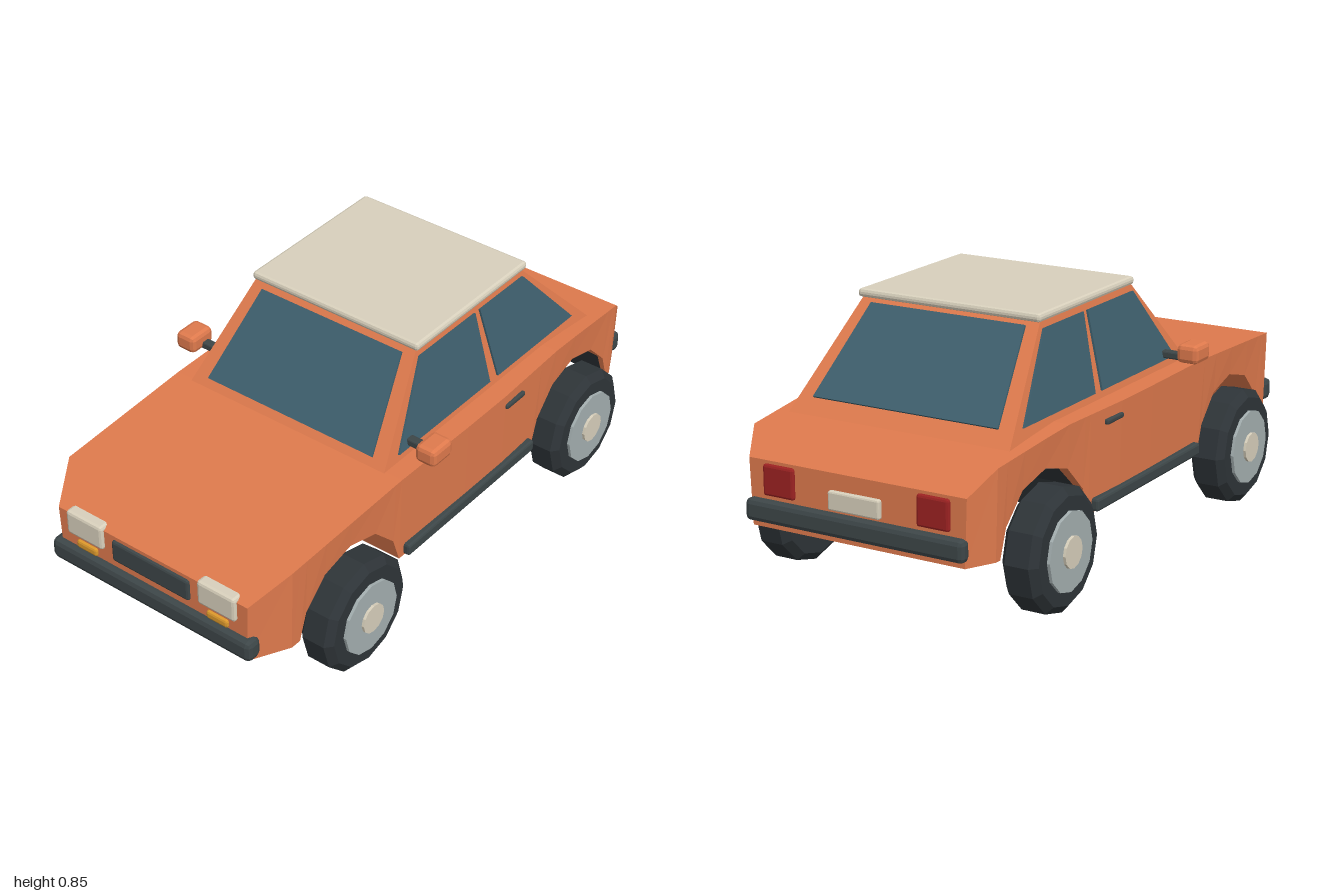
import * as THREE from 'three';
import { RoundedBoxGeometry } from 'three/addons/geometries/RoundedBoxGeometry.js';

const mat = (color, side = THREE.FrontSide) =>
  new THREE.MeshStandardMaterial({ color, flatShading: true, side });

// Joins matching rings of corners with quads and closes both ends.
function loft(rings) {
  const pos = [];
  const tri = (...p) => p.forEach((v) => pos.push(...v));
  const cap = (r) => { for (let i = 1; i < r.length - 1; i++) tri(r[0], r[i], r[i + 1]); };
  cap(rings[0]);
  cap([...rings[rings.length - 1]].reverse());
  for (let i = 0; i < rings.length - 1; i++) {
    const A = rings[i], B = rings[i + 1];
    for (let j = 0; j < A.length; j++) {
      const k = (j + 1) % A.length;
      tri(A[j], B[j], B[k]);
      tri(A[j], B[k], A[k]);
    }
  }
  const g = new THREE.BufferGeometry();
  g.setAttribute('position', new THREE.Float32BufferAttribute(pos, 3));
  g.computeVertexNormals();
  return g;
}

// Piecewise linear lookup in a list of [z, value], z falling.
function lookup(table, z) {
  for (let i = 0; i < table.length - 1; i++) {
    const [z0, a] = table[i], [z1, b] = table[i + 1];
    if (z >= z1) return a + ((b - a) * (z0 - z)) / (z0 - z1);
  }
  return table[table.length - 1][1];
}

// Thin glass pane from corners that run anticlockwise seen from outside.
function pane(points) {
  const v = points.map((p) => new THREE.Vector3(...p));
  const n = v[1].clone().sub(v[0]).cross(v[2].clone().sub(v[0])).normalize();
  const shift = (d) => v.map((p) => p.clone().addScaledVector(n, d).toArray());
  return loft([shift(0.007), shift(-0.008)]);
}

export function createModel() {
  const car = new THREE.Group();
  car.name = 'car';
  const paint = mat(0xdf7a4d), glass = mat(0x3e5f6d), rubber = mat(0x2e3438);
  const trim = mat(0x3d4648), cream = mat(0xd8d0bc), metal = mat(0xa4afb0);
  const red = mat(0x9c2222), amber = mat(0xdb982c);

  const add = (name, geo, material, parent = car) => {
    const m = new THREE.Mesh(geo, material);
    m.name = name;
    parent.add(m);
    return m;
  };
  // Chamfered box given by its ranges on each axis.
  const box = (name, material, [x0, x1], [y0, y1], [z0, z1], r = 0.008) =>
    add(name, new RoundedBoxGeometry(x1 - x0, y1 - y0, z1 - z0, 1, r), material)
      .position.set((x0 + x1) / 2, (y0 + y1) / 2, (z0 + z1) / 2);
  const span = (s, a, b) => (s > 0 ? [a, b] : [-b, -a]);

  // Lower body: stations from nose to tail, with a wheel tunnel at each axle
  const axles = [0.575, -0.62], axleY = 0.2, floor = 0.23;
  const top = [[0.975, 0.44], [0.85, 0.522], [0.34, 0.545], [-0.52, 0.545], [-0.88, 0.512], [-0.97, 0.44]];
  const width = [[0.975, 0.373], [0.85, 0.44], [0, 0.452], [-0.2, 0.452], [-0.88, 0.427], [-0.97, 0.38]];
  const stations = [[0.975, floor], [0.85, floor]];
  axles.forEach((z, i) => {
    for (const deg of [7.2, 30, 60, 90, 120, 150, 172.8]) {
      const a = THREE.MathUtils.degToRad(deg);
      stations.push([z + 0.24 * Math.cos(a), axleY + 0.24 * Math.sin(a)]);
    }
    if (i === 0) stations.push([0, floor], [-0.2, floor]);
  });
  stations.push([-0.88, floor], [-0.97, floor]);
  add('body', loft(stations.map(([z, y]) => {
    const w = lookup(width, z), t = lookup(top, z), b = w - 0.008;
    return [[b, y, z], [w, t, z], [-w, t, z], [-b, y, z]];
  })), paint);

  // Dark lining of the rear wheel tunnel
  const liner = new THREE.CylinderGeometry(0.234, 0.234, 0.82, 6, 1, true, 0.13, Math.PI - 0.26);
  add('rearTunnelLining', liner.rotateZ(Math.PI / 2), mat(0x2e3438, THREE.DoubleSide))
    .position.set(0, axleY, axles[1]);

  // Cabin with sloping sides
  const cabX = (y) => 0.315 + (0.83 - y) * 0.245;
  const cabFront = (y) => 0.1 + (0.83 - y) * 0.86;
  const cabBack = (y) => -0.46 - (0.83 - y) * 0.967;
  add('cabin', loft([0.835, 0.5].map((y) => {
    const x = cabX(y), f = cabFront(y), b = cabBack(y);
    return [[x, y, f], [x, y, b], [-x, y, b], [-x, y, f]];
  })), paint);
  box('roof', cream, [-0.325, 0.325], [0.83, 0.857], [-0.478, 0.105], 0.01);

  // Windows
  const lo = 0.567, hi = 0.815;
  add('windscreen', pane([[-0.327, lo, cabFront(lo)], [0.327, lo, cabFront(lo)],
    [0.275, hi, cabFront(hi)], [-0.275, hi, cabFront(hi)]]), glass);
  add('rearWindow', pane([[0.327, lo, cabBack(lo)], [-0.327, lo, cabBack(lo)],
    [-0.275, hi, cabBack(hi)], [0.275, hi, cabBack(hi)]]), glass);
  const sideWindows = {
    frontSideWindow: [[0.27, lo], [-0.205, lo], [-0.195, 0.81], [0.093, 0.81]],
    rearSideWindow: [[-0.248, lo], [-0.668, lo], [-0.455, 0.81], [-0.22, 0.81]],
  };

  // Wheel facing +x
  const tyre = new THREE.LatheGeometry([[0, -0.061], [0.17, -0.061], [0.195, -0.04], [0.195, 0.04],
    [0.17, 0.061], [0, 0.061]].map((p) => new THREE.Vector2(...p)), 12).rotateZ(-Math.PI / 2);
  const disc = (r, x0, x1) => new THREE.CylinderGeometry(r, r, x1 - x0, 12)
    .rotateZ(-Math.PI / 2).translate((x0 + x1) / 2, 0, 0);
  const rim = disc(0.125, 0.03, 0.071), hubCap = disc(0.05, 0.05, 0.08);

  for (const s of [1, -1]) {
    const side = s > 0 ? 'left' : 'right';
    axles.forEach((z, i) => {
      const wheel = new THREE.Group();
      wheel.name = side + (i ? 'RearWheel' : 'FrontWheel');
      add('tyre', tyre, rubber, wheel);
      add('rim', rim, metal, wheel);
      add('hubCap', hubCap, cream, wheel);
      wheel.position.set(s * 0.446, axleY, z);
      if (s < 0) wheel.rotation.y = Math.PI;
      car.add(wheel);
    });
    for (const [name, pts] of Object.entries(sideWindows)) {
      const p = pts.map(([z, y]) => [s * cabX(y), y, z]);
      add(`${side} ${name}`, pane(s > 0 ? p : p.reverse()), glass);
    }
    // Sills, handles and mirrors
    box(side + 'Sill', trim, span(s, 0.42, 0.462), [0.235, 0.276], [-0.363, 0.315]);
    box(side + 'DoorHandle', trim, span(s, 0.435, 0.46), [0.493, 0.51], [-0.3, -0.2], 0.005);
    box(side + 'MirrorArm', trim, span(s, 0.36, 0.45), [0.576, 0.6], [0.195, 0.225], 0.005);
    box(side + 'Mirror', paint, span(s, 0.44, 0.515), [0.574, 0.635], [0.172, 0.27], 0.015);
    // Lamps
    box(side + 'Headlight', cream, span(s, 0.188, 0.333), [0.368, 0.455], [0.93, 0.988], 0.01);
    box(side + 'Indicator', amber, span(s, 0.218, 0.3), [0.325, 0.354], [0.95, 0.985]);
    box(side + 'TailLight', red, span(s, 0.215, 0.325), [0.332, 0.43], [-0.982, -0.94]);
  }

  // Front and rear trim
  box('grille', trim, [-0.152, 0.152], [0.35, 0.427], [0.94, 0.985]);
  box('frontBumper', trim, [-0.395, 0.395], [0.248, 0.322], [0.942, 1], 0.018);
  box('rearBumper', trim, [-0.382, 0.382], [0.25, 0.32], [-1, -0.955], 0.016);
  box('numberPlate', cream, [-0.09, 0.09], [0.328, 0.388], [-0.985, -0.95], 0.006);

  return car;
}
